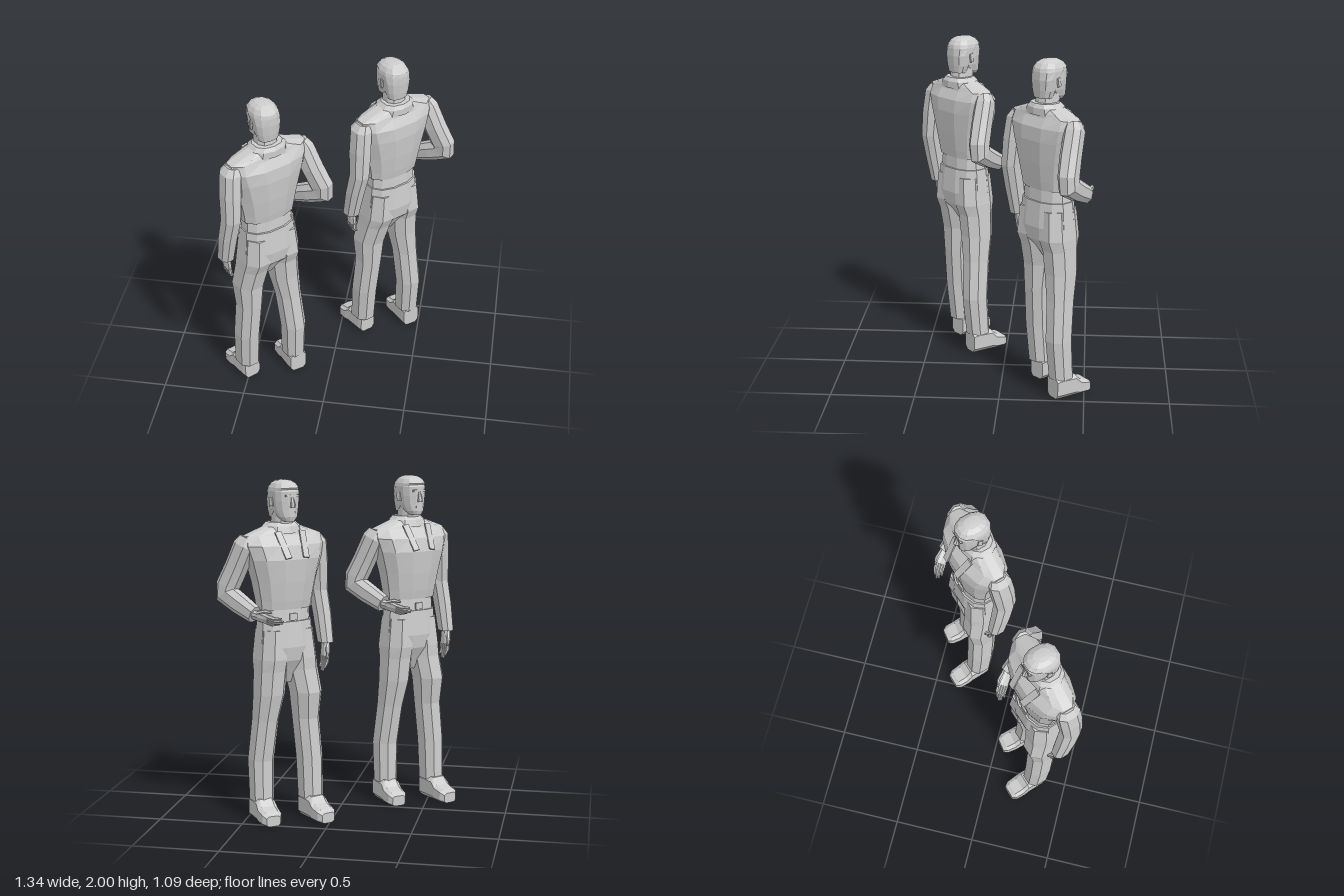
import * as THREE from 'three';

const grey = new THREE.MeshStandardMaterial({ color: 0xcccccc });
grey.name = 'plain grey';

function add(parent, name, geometry, pos = [0, 0, 0], rot = [0, 0, 0]) {
  const g = geometry.index ? geometry.toNonIndexed() : geometry;
  g.computeVertexNormals();
  const mesh = new THREE.Mesh(g, grey);
  mesh.name = name;
  mesh.position.set(...pos);
  mesh.rotation.set(...rot);
  parent.add(mesh);
}

// Faceted loft through sections [x, y, z, halfWidth, halfDepth].
// axis fixes the section normal, otherwise sections follow the path.
function loft(sections, { n = 10, axis = null, ref = [1, 0, 0], p = 0.85 } = {}) {
  const pts = sections.map(s => new THREE.Vector3(s[0], s[1], s[2]));
  const pos = [], idx = [], last = pts.length - 1;
  pts.forEach((c, i) => {
    const t = new THREE.Vector3();
    if (axis) t.set(...axis);
    else {
      if (i > 0) t.add(c.clone().sub(pts[i - 1]).normalize());
      if (i < last) t.add(pts[i + 1].clone().sub(c).normalize());
    }
    t.normalize();
    const e1 = new THREE.Vector3(...ref);
    e1.addScaledVector(t, -e1.dot(t)).normalize();
    const e2 = t.clone().cross(e1);
    for (let j = 0; j < n; j++) {
      const a = ((j + 0.5) / n) * Math.PI * 2;
      const k = v => Math.sign(v) * Math.abs(v) ** p;
      const v = c.clone().addScaledVector(e1, sections[i][3] * k(Math.cos(a)))
        .addScaledVector(e2, sections[i][4] * k(Math.sin(a)));
      pos.push(v.x, v.y, v.z);
    }
  });
  for (let i = 0; i < last; i++) for (let j = 0; j < n; j++) {
    const a = i * n + j, b = i * n + (j + 1) % n;
    idx.push(a, b, b + n, a, b + n, a + n);
  }
  // end caps
  for (let j = 1; j < n - 1; j++) {
    const o = last * n;
    idx.push(0, j + 1, j, o, o + j, o + j + 1);
  }
  const g = new THREE.BufferGeometry();
  g.setAttribute('position', new THREE.Float32BufferAttribute(pos, 3));
  g.setIndex(idx);
  return g;
}

const UP = { axis: [0, 1, 0] }, DOWN = { axis: [0, -1, 0] };

// Hand pointing down from the wrist, thumb forward
function makeHand(name, side) {
  const hand = new THREE.Group();
  hand.name = name;
  add(hand, 'palm', loft([[0, 0.03, 0, 0.022, 0.028], [0, -0.02, 0, 0.022, 0.036],
    [0, -0.075, 0, 0.016, 0.038]], { ...DOWN, n: 8 }));
  [0.08, 0.095, 0.09, 0.07].forEach((len, i) => {
    const z = 0.028 - i * 0.019;
    add(hand, 'finger', loft([[0, -0.065, z, 0.012, 0.011], [0, -0.07 - len / 2, z, 0.011, 0.01],
      [-side * 0.016, -0.07 - len, z * 0.9, 0.006, 0.006]], { ...DOWN, n: 6 }));
  });
  add(hand, 'thumb', loft([[0, -0.005, 0.025, 0.014, 0.014], [-side * 0.012, -0.05, 0.05, 0.012, 0.012],
    [-side * 0.018, -0.09, 0.05, 0.006, 0.006]], { ...DOWN, n: 6 }));
  return hand;
}

function makeHead(man) {
  const head = new THREE.Group();
  head.name = 'head';
  man.add(head);
  add(head, 'neck', loft([[0, 1.69, -0.025, 0.068, 0.068], [0, 1.84, 0, 0.06, 0.066]], UP));
  add(head, 'face', loft([[0, 1.765, 0.06, 0.032, 0.034], [0, 1.79, 0.04, 0.056, 0.062],
    [0, 1.83, 0.014, 0.07, 0.088], [0, 1.88, 0.01, 0.077, 0.093], [0, 1.935, 0.008, 0.078, 0.097],
    [0, 1.965, 0.004, 0.064, 0.085]], { ...UP, n: 12 }));
  add(head, 'hair', loft([[0, 1.785, -0.045, 0.06, 0.042], [0, 1.83, -0.038, 0.073, 0.056],
    [0, 1.89, -0.03, 0.081, 0.07], [0, 1.935, -0.004, 0.082, 0.096], [0, 1.955, 0.004, 0.078, 0.1],
    [0, 1.98, 0.004, 0.063, 0.08], [0, 1.996, 0.002, 0.038, 0.05], [0, 2, 0.002, 0.012, 0.018]],
    { ...UP, n: 12 }));
  add(head, 'nose', loft([[0, 1.845, 0.102, 0.017, 0.022], [0, 1.86, 0.104, 0.014, 0.021],
    [0, 1.905, 0.098, 0.008, 0.008]], { ...UP, n: 6 }));
  add(head, 'brow', new THREE.BoxGeometry(0.085, 0.012, 0.016), [0, 1.912, 0.096]);
  add(head, 'mouth', new THREE.BoxGeometry(0.045, 0.01, 0.01), [0, 1.815, 0.096]);
  for (const s of [-1, 1])
    add(head, 'ear', new THREE.BoxGeometry(0.01, 0.05, 0.026), [s * 0.079, 1.875, 0], [-0.15, s * -0.25, 0]);
}

function makeTorso(man) {
  add(man, 'jacket', loft([[0, 1.26, 0, 0.172, 0.106], [0, 1.31, 0, 0.178, 0.116], [0, 1.42, 0, 0.2, 0.132],
    [0, 1.55, 0, 0.238, 0.144], [0, 1.63, -0.008, 0.262, 0.132], [0, 1.685, -0.02, 0.255, 0.09],
    [0, 1.71, -0.022, 0.185, 0.084], [0, 1.74, -0.025, 0.1, 0.07]], { ...UP, n: 12 }));
  add(man, 'waistband', loft([[0, 1.17, 0, 0.162, 0.106], [0, 1.28, 0, 0.155, 0.1]], { ...UP, n: 12 }));
  add(man, 'beltBuckle', new THREE.BoxGeometry(0.05, 0.04, 0.01), [0, 1.215, 0.104]);
  add(man, 'hips', loft([[0, 0.82, 0.015, 0.03, 0.03], [0, 0.91, 0.01, 0.1, 0.08], [0, 0.96, 0, 0.16, 0.117],
    [0, 1.04, 0, 0.182, 0.129], [0, 1.19, 0, 0.168, 0.116]], { ...UP, n: 12 }));
  // Standing collar
  add(man, 'collar', loft([[0, 1.695, -0.02, 0.125, 0.1], [0, 1.735, -0.026, 0.112, 0.094],
    [0, 1.758, -0.03, 0.088, 0.075]], UP));
  // Lapels lying on the chest
  for (const s of [-1, 1])
    add(man, 'lapel', new THREE.BoxGeometry(0.04, 0.17, 0.009), [s * 0.07, 1.635, 0.114], [-0.5, s * 0.1, s * -0.14]);
}

function makeArms(man) {
  // Left arm hangs down
  add(man, 'leftSleeve', loft([[0.225, 1.675, -0.02, 0.038, 0.05], [0.24, 1.635, -0.02, 0.056, 0.072],
    [0.254, 1.5, -0.032, 0.06, 0.073], [0.266, 1.34, -0.042, 0.054, 0.067],
    [0.274, 1.2, -0.012, 0.052, 0.062], [0.276, 1.03, 0.022, 0.045, 0.054]], { ...DOWN, n: 8 }));
  const left = makeHand('leftHand', 1);
  left.position.set(0.272, 1.02, 0.026);
  left.rotation.set(-0.1, 0, -0.12);
  man.add(left);

  // Right arm is bent, hand before the waist
  add(man, 'rightSleeve', loft([[-0.225, 1.675, -0.02, 0.038, 0.05], [-0.24, 1.63, -0.03, 0.055, 0.07],
    [-0.268, 1.5, -0.085, 0.058, 0.07], [-0.298, 1.395, -0.128, 0.056, 0.074],
    [-0.304, 1.345, -0.128, 0.054, 0.077], [-0.275, 1.3, -0.045, 0.05, 0.063],
    [-0.24, 1.245, 0.07, 0.042, 0.052]], { n: 8, ref: [1, 0, -0.35] }));
  const right = makeHand('rightHand', -1);
  right.position.set(-0.235, 1.24, 0.08);
  right.quaternion.setFromUnitVectors(new THREE.Vector3(0, -1, 0),
    new THREE.Vector3(0.62, -0.28, 0.73).normalize());
  man.add(right);
}

function makeLegs(man) {
  // Section rows are [x, y, z, half width, half depth], bottom to top
  const legs = {
    left: [[0.128, 0.12, 0.08, 0.07, 0.08], [0.132, 0.36, 0.062, 0.074, 0.086], [0.12, 0.6, 0.042, 0.076, 0.088],
      [0.115, 0.76, 0.05, 0.091, 0.105], [0.1, 0.9, 0.02, 0.094, 0.112],
      [0.096, 0.97, 0.004, 0.094, 0.128], [0.085, 1.14, 0, 0.086, 0.115]],
    right: [[-0.15, 0.12, -0.022, 0.068, 0.074], [-0.143, 0.36, -0.038, 0.074, 0.08], [-0.127, 0.6, -0.012, 0.074, 0.086],
      [-0.11, 0.76, 0.006, 0.088, 0.1], [-0.1, 0.9, 0.006, 0.092, 0.108],
      [-0.096, 0.97, 0, 0.094, 0.128], [-0.085, 1.14, 0, 0.086, 0.115]],
  };
  for (const side in legs)
    add(man, side + 'TrouserLeg', loft(legs[side], { ...UP, n: 8 }));

  // Shoes run from heel to toe with a flat sole
  const shoe = [[0, 0.055, 0.068], [0.03, 0.06, 0.072], [0.13, 0.063, 0.07], [0.165, 0.066, 0.05],
    [0.222, 0.063, 0.041], [0.248, 0.045, 0.032]].map(([z, a, b]) => [0, b, z, a, b]);
  for (const [name, x, z, turn] of [['leftShoe', 0.122, 0.034, 0], ['rightShoe', -0.145, -0.085, -0.14]])
    add(man, name, loft(shoe, { n: 8, axis: [0, 0, 1], p: 0.5 }), [x, 0, z], [0, turn, 0]);
}

function makeMan(name, x, z) {
  const man = new THREE.Group();
  man.name = name;
  makeHead(man);
  makeTorso(man);
  makeArms(man);
  makeLegs(man);
  man.position.set(x, 0, z);
  man.rotation.y = Math.PI * 1.25;
  return man;
}

export function createModel() {
  const model = new THREE.Group();
  model.name = 'twoStandingMen';
  model.add(makeMan('firstMan', -0.363, 0.272), makeMan('secondMan', 0.292, -0.273));
  return model;
}
